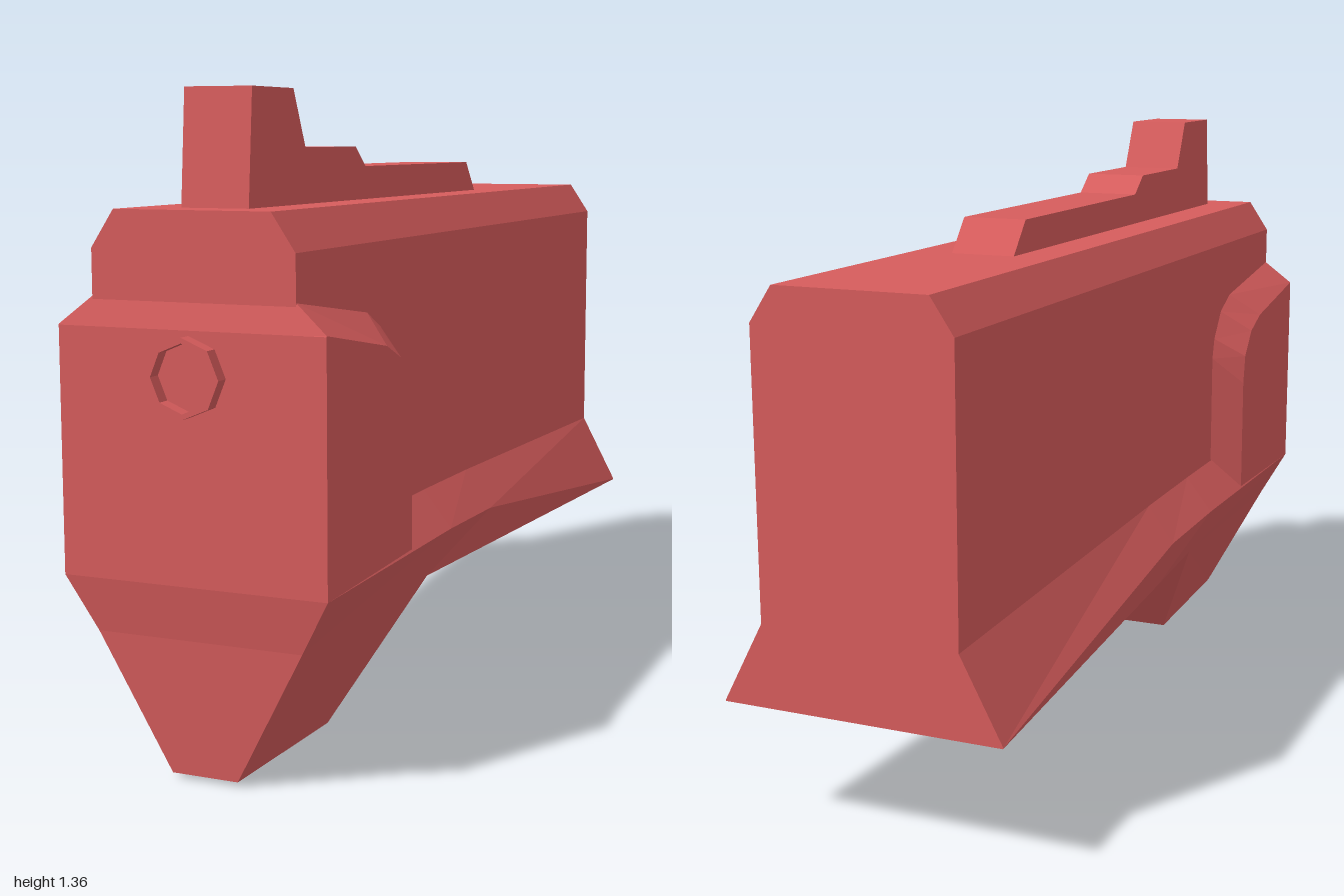
import * as THREE from 'three';

const material = new THREE.MeshStandardMaterial({ color: 0xd65c5c, flatShading: true });

// Joins equal-length closed rings of [x, y, z] points and caps both ends.
function loft(rings) {
  const n = rings[0].length;
  const tris = [];
  const quad = (a, b, c, d) => tris.push([a, b, c], [a, c, d]);
  for (let r = 0; r < rings.length - 1; r++) {
    for (let i = 0; i < n; i++) {
      const j = (i + 1) % n;
      quad(rings[r][i], rings[r][j], rings[r + 1][j], rings[r + 1][i]);
    }
  }
  const first = rings[0], last = rings[rings.length - 1];
  for (let i = 0; i < n / 2 - 1; i++) {
    const k = n - 1 - i;
    quad(first[i], first[k], first[k - 1], first[i + 1]);
    quad(last[i], last[i + 1], last[k - 1], last[k]);
  }
  // Turn every face outwards, judged by the sign of the enclosed volume.
  const v = tris.map(t => t.map(p => new THREE.Vector3(...p)));
  const volume = v.reduce((s, [a, b, c]) => s + a.dot(b.clone().cross(c)), 0);
  const points = v.flatMap(([a, b, c]) => (volume > 0 ? [a, b, c] : [a, c, b]));
  const geometry = new THREE.BufferGeometry().setFromPoints(points);
  geometry.computeVertexNormals();
  return geometry;
}

// Completes a half ring (+x side, top to bottom) with its mirror image.
const mirrorRing = half => [...half, ...half.map(([x, y, z]) => [-x, y, z]).reverse()];

export function createModel() {
  const group = new THREE.Group();
  const add = (name, geometry) => {
    const mesh = new THREE.Mesh(geometry, material);
    mesh.name = name;
    group.add(mesh);
    return mesh;
  };

  // Main housing: bevelled top, straight sides, flared lower skirt
  const section = (z, waistY, ledge, lower) => mirrorRing([
    [0.167, 1.125, z], [0.217, 1.05, z], [0.217, waistY, z], ledge, lower,
  ]);
  add('housing', loft([
    section(-1, 0.45, [0.308, 0.277, -1], [0.307, 0.275, -1]),
    section(0.02, 0.48, [0.279, 0.393, 0.02], [0.244, 0.287, 0.02]),
    section(0.3, 0.485, [0.282, 0.402, 0.3], [0.226, 0.29, 0.3]),
    section(0.955, 0.49, [0.285, 0.403, 0.97], [0.222, 0.29, 0.95]),
  ]));

  // Raised front collar wrapping both cheeks, with a bevelled rear edge
  const outer = [[0.97, 0.403], [0.97, 0.9], [0.969, 0.902], [0.68, 0.852],
    [0.605, 0.82], [0.555, 0.76], [0.543, 0.69], [0.543, 0.41]];
  const inner = [[0.97, 0.403], [0.97, 0.9], [0.953, 0.958], [0.62, 0.91],
    [0.55, 0.875], [0.5, 0.81], [0.487, 0.76], [0.487, 0.49]];
  const slice = (x, outline) => outline.map(([z, y]) => [x, y, z]);
  add('frontCollar', loft([
    slice(-0.285, outer), slice(-0.217, inner), slice(0.217, inner), slice(0.285, outer),
  ]));

  // Tapered keel below the front
  add('keel', loft([
    mirrorRing([[0.222, 0.29, 0.95], [0.226, 0.29, 0.3]]),
    mirrorRing([[0.072, 0.01, 0.93], [0.08, 0, 0.52]]),
  ]));

  // Stepped sight rail on top
  const profile = [[0.858, 1.115], [0.838, 1.357], [0.655, 1.357], [0.6, 1.24],
    [0.342, 1.24], [0.288, 1.197], [-0.37, 1.197], [-0.44, 1.115]];
  const rail = new THREE.ExtrudeGeometry(
    new THREE.Shape(profile.map(p => new THREE.Vector2(...p))),
    { depth: 0.146, bevelEnabled: false });
  add('sightRail', rail.translate(0, 0, -0.073).rotateY(-Math.PI / 2));

  // Octagonal hollow muzzle
  const ring = [[0.078, -0.01], [0.078, 0.03], [0.067, 0.03], [0.067, -0.01]];
  const muzzle = new THREE.LatheGeometry(ring.map(p => new THREE.Vector2(...p)), 8);
  add('muzzle', muzzle.rotateX(Math.PI / 2)).position.set(0, 0.812, 0.97);

  return group;
}
